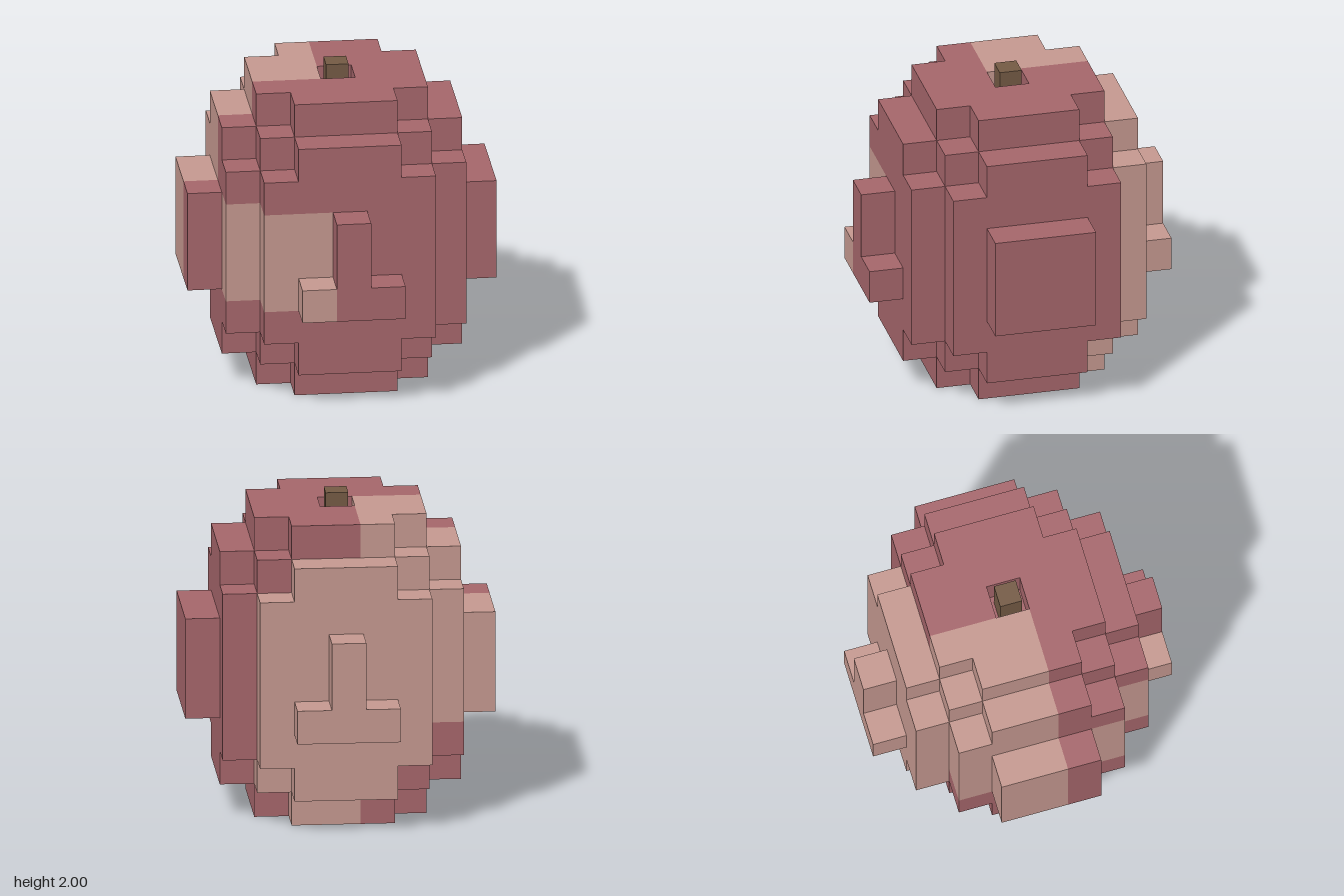
import * as THREE from 'three';
import { mergeGeometries } from 'three/addons/utils/BufferGeometryUtils.js';

const U = 0.2137; // size of one block

// Which blocks make up the round fruit: i = x, j = height (0..8), k = z
function solid(i, j, k) {
  const a = Math.abs(i), b = Math.abs(j - 4), c = Math.abs(k);
  if (i === 0 && j === 8 && k === 0) return false;          // stem dimple
  if (a <= 2 && b <= 3 && c <= 2) return true;              // core
  if (b === 4) return a <= 2 && c <= 2 && a + c < 4;        // top and bottom caps
  if (a === 3) return c <= 2 && b <= 3 && b + c < 5;        // side slabs
  if (c === 3) return a <= 2 && b <= 3 && a + b < 5;        // front and back slabs
  if (a === 4) return b <= 1 && c <= 1;                     // side bumps
  if (c === 4) return b <= 1 && a <= (j === 3 ? 1 : 0);     // front and back ridges
  return false;
}

// Pale patches, in order; blocks outside all of them are skin
const patches = {
  backFlesh: (i, j, k) => k <= -3,
  sideFlesh: (i, j, k) => i <= -1 && k <= 0 && j >= 3,
  frontFlesh: (i, j, k) => i <= -1 && i >= -3 && k >= 2 && j >= 3 && j <= 5,
  bottomFlesh: (i, j, k) => i >= 0 && k <= 0 && j <= 1 && i <= j + 1,
};

// One square per block side: direction and the turn that faces it outwards
const Q = Math.PI / 2;
const sides = [
  [[0, 0, 1], 0, 0], [[0, 0, -1], 0, 2 * Q],
  [[1, 0, 0], 0, Q], [[-1, 0, 0], 0, -Q],
  [[0, 1, 0], -Q, 0], [[0, -1, 0], Q, 0],
];

function partOf(i, j, k) {
  for (const name in patches) if (patches[name](i, j, k)) return name;
  return 'skin';
}

export function createModel() {
  const group = new THREE.Group();
  const skin = new THREE.MeshStandardMaterial({ name: 'skinRed', color: 0xa7676c });
  const flesh = new THREE.MeshStandardMaterial({ name: 'paleFlesh', color: 0xc79a91 });
  const wood = new THREE.MeshStandardMaterial({ name: 'stemBrown', color: 0x755b45 });

  // Collect the exposed squares of every block
  const faces = {};
  for (let i = -4; i <= 4; i++) for (let j = 0; j <= 8; j++) for (let k = -4; k <= 4; k++) {
    if (!solid(i, j, k)) continue;
    const name = partOf(i, j, k);
    for (const [[dx, dy, dz], rx, ry] of sides) {
      if (solid(i + dx, j + dy, k + dz)) continue;
      const g = new THREE.PlaneGeometry(U, U).rotateX(rx).rotateY(ry);
      g.translate((i + dx / 2) * U, (j + 0.5 + dy / 2) * U, (k + dz / 2) * U);
      (faces[name] ??= []).push(g);
    }
  }
  for (const name in faces) {
    const mesh = new THREE.Mesh(mergeGeometries(faces[name]), name === 'skin' ? skin : flesh);
    mesh.name = name;
    group.add(mesh);
  }

  // Stem standing in the dimple
  const bottom = 8 * U;
  const stem = new THREE.Mesh(new THREE.BoxGeometry(0.14, 2 - bottom, 0.14), wood);
  stem.position.y = (2 + bottom) / 2;
  stem.name = 'stem';
  group.add(stem);
  return group;
}
